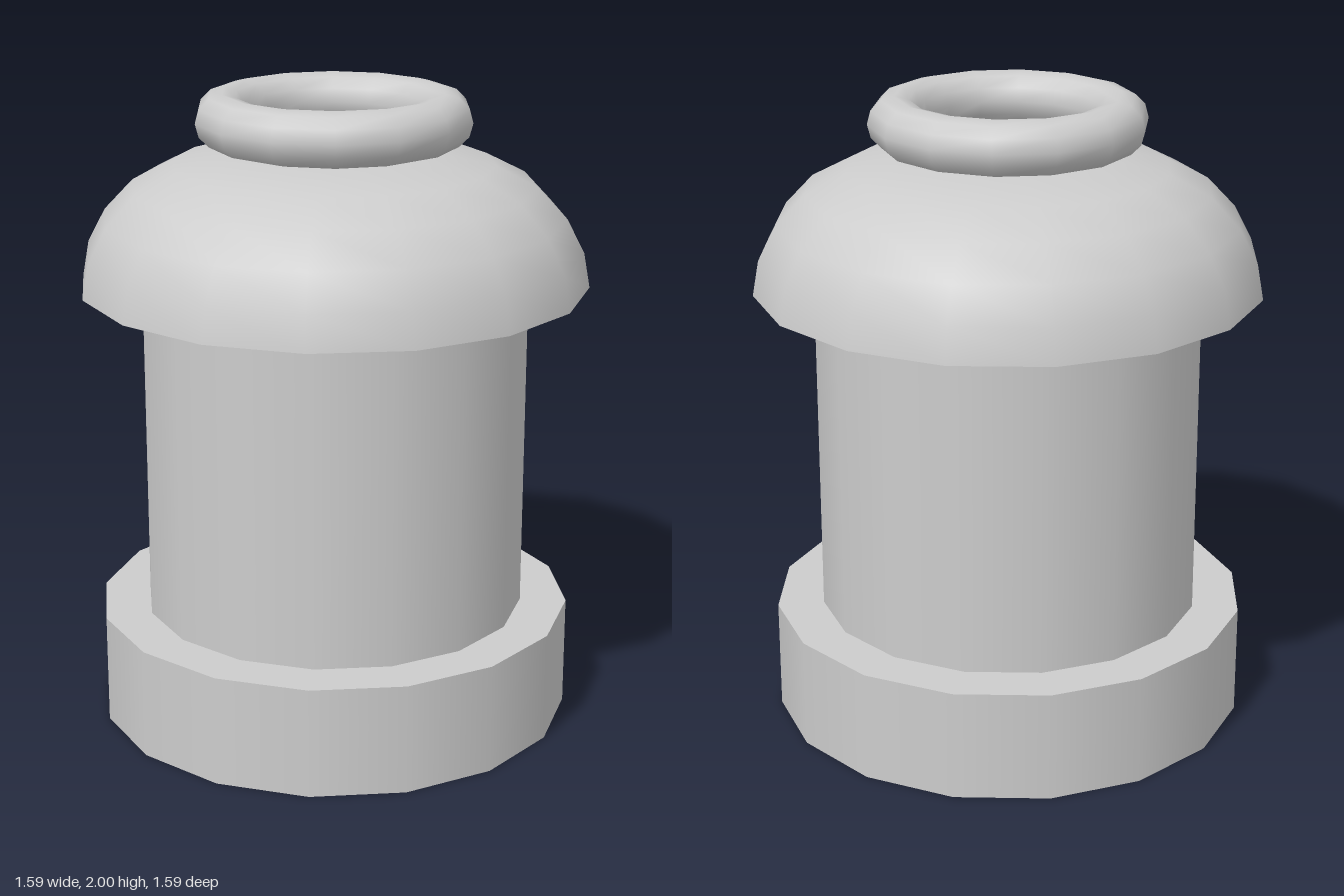
import * as THREE from 'three';

export function createModel() {
  const model = new THREE.Group();
  const grey = new THREE.MeshStandardMaterial({ color: 0xcccccc });
  grey.name = 'plain grey';
  const SIDES = 16;

  function add(name, geometry, y) {
    const mesh = new THREE.Mesh(geometry, grey);
    mesh.name = name;
    mesh.position.y = y;
    model.add(mesh);
  }

  // Stacked cylinders: wide foot and column
  add('base', new THREE.CylinderGeometry(0.755, 0.755, 0.35, SIDES), 0.175);
  add('column', new THREE.CylinderGeometry(0.607, 0.607, 1.05, SIDES), 0.875);

  // Overhanging dome with a flat underside
  const profile = [
    [0.795, 0], [0.775, 0.11], [0.72, 0.215], [0.63, 0.31],
    [0.5, 0.377], [0.305, 0.415], [0, 0.428],
  ].map(([r, y]) => new THREE.Vector2(r, y));
  add('dome', new THREE.LatheGeometry(profile, SIDES), 1.4);
  add('domeUnderside', new THREE.CircleGeometry(0.795, SIDES).rotateX(Math.PI / 2), 1.4);

  // Ring lying flat above the dome
  add('topRing', new THREE.TorusGeometry(0.346, 0.085, 12, 14).rotateX(Math.PI / 2), 1.915);

  return model;
}
